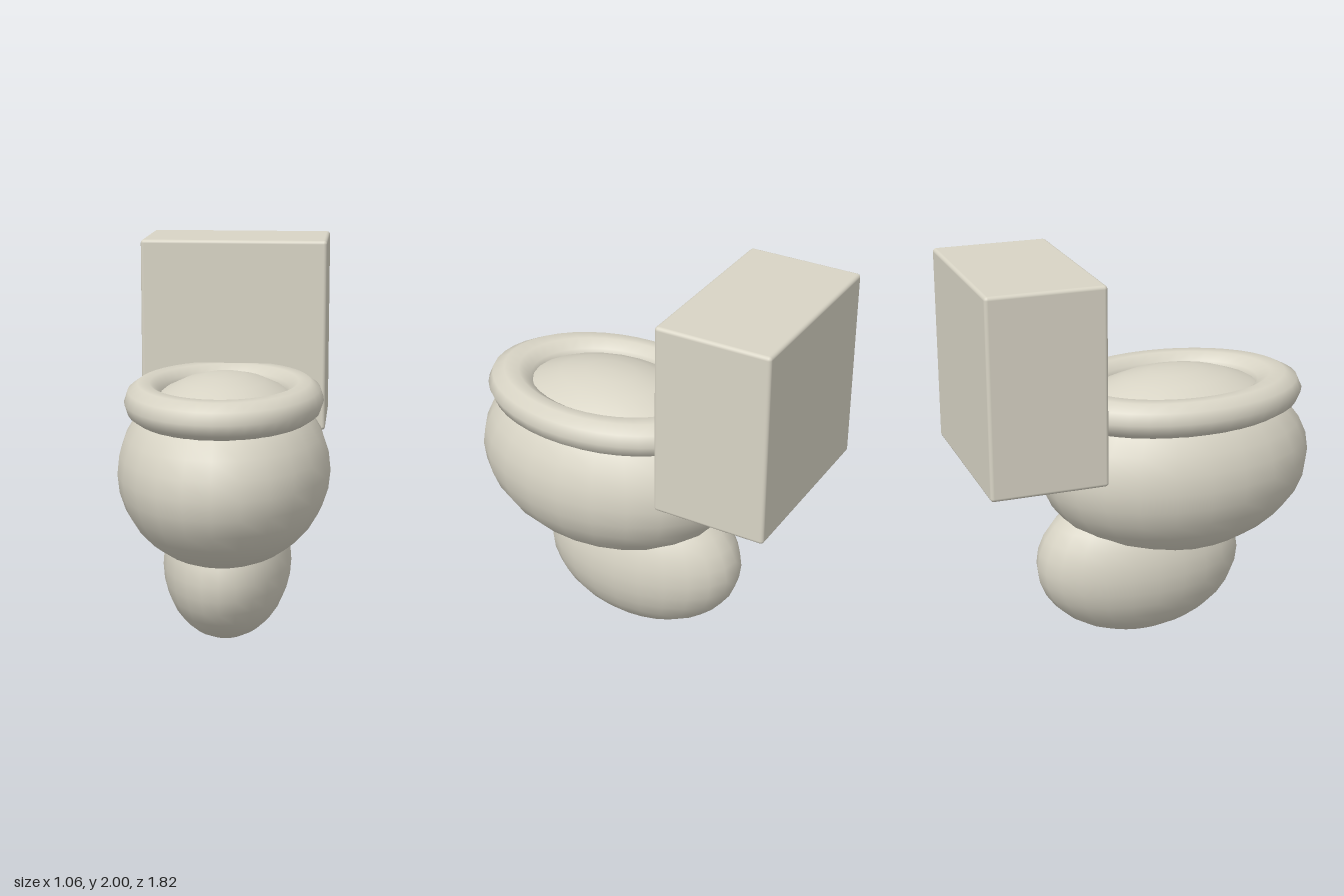
import * as THREE from 'three';
import { RoundedBoxGeometry } from 'three/addons/geometries/RoundedBoxGeometry.js';

const ceramic = new THREE.MeshStandardMaterial({ color: 0xd8d4c5 });
ceramic.name = 'ceramic';

export function createModel() {
  const model = new THREE.Group();
  model.name = 'toilet';

  const add = (name, geometry, x, y, z) => {
    const mesh = new THREE.Mesh(geometry, ceramic);
    mesh.name = name;
    mesh.position.set(x, y, z);
    model.add(mesh);
  };
  const ellipsoid = (rx, ry, rz) => new THREE.SphereGeometry(1, 24, 16).scale(rx, ry, rz);

  // Foot and bowl: two overlapping ellipsoids
  add('foot', ellipsoid(0.328, 0.4, 0.543), 0, 0.4, -0.005);
  add('bowl', ellipsoid(0.528, 0.48, 0.715), 0, 0.92, 0.195);

  // Seat: a ring stretched front to back
  const seat = new THREE.TorusGeometry(0.396, 0.095, 10, 40)
    .rotateX(-Math.PI / 2)
    .scale(1, 1, 1.365);
  add('seat', seat, 0, 1.271, 0.195);

  // Cistern with softly rounded edges
  add('cistern', new RoundedBoxGeometry(0.966, 0.991, 0.585, 3, 0.018), 0, 1.5045, -0.6175);

  return model;
}
